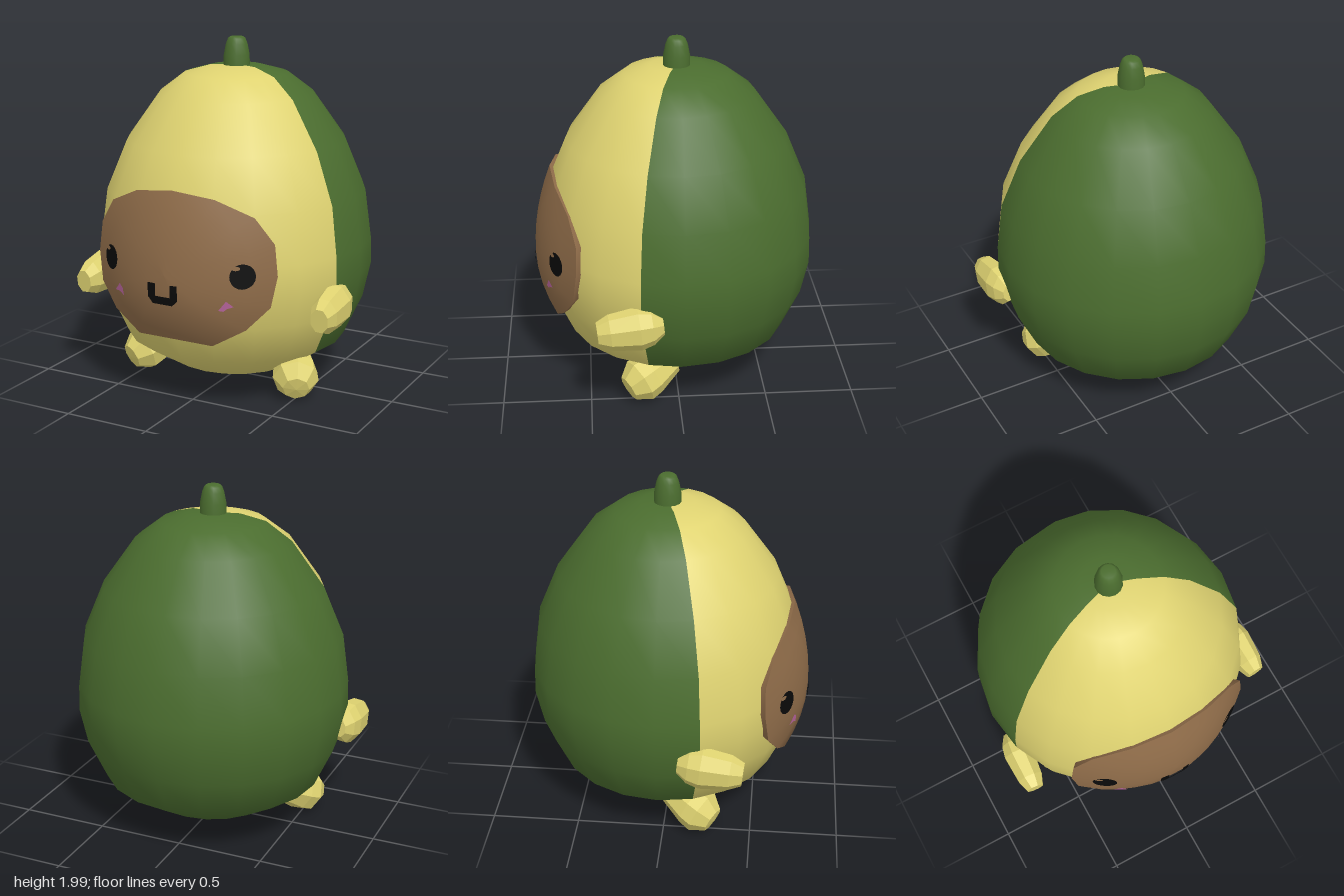
import * as THREE from 'three';

const mat = (name, color) => Object.assign(new THREE.MeshStandardMaterial({ color }), { name });
const V2 = ([x, y]) => new THREE.Vector2(x, y);

// Gently domed front surface of the face plate
const faceZ = (x, y) => 0.8 - 0.74 * x * x - (y > 0.75 ? 0.38 : 0.75) * (y - 0.75) ** 2;

// Joins closed rings of points into a skin
function loft(rings) {
  const n = rings[0].length, index = [];
  for (let r = 0; r < rings.length - 1; r++)
    for (let i = 0; i < n; i++) {
      const a = r * n + i, d = r * n + (i + 1) % n;
      index.push(a, a + n, d + n, a, d + n, d);
    }
  const g = new THREE.BufferGeometry();
  g.setAttribute('position', new THREE.Float32BufferAttribute(rings.flat(2), 3));
  g.setIndex(index);
  g.computeVertexNormals();
  return g;
}

// Thin painted shape that follows the face plate
function decal(shape, lift = 0.006) {
  const g = new THREE.ShapeGeometry(shape, 10), p = g.attributes.position;
  for (let i = 0; i < p.count; i++) p.setZ(i, faceZ(p.getX(i), p.getY(i)) + lift);
  g.computeVertexNormals();
  return g;
}

const ellipse = (x, y, rx, ry) => new THREE.Shape().absellipse(x, y, rx, ry, 0, Math.PI * 2);

// Stubby faceted limb: an eight-sided profile turned about a direction
function limb(profile, dir) {
  const g = new THREE.LatheGeometry(profile.map(V2), 8, Math.PI / 8).toNonIndexed();
  g.applyQuaternion(new THREE.Quaternion().setFromUnitVectors(
    new THREE.Vector3(0, 1, 0), new THREE.Vector3(...dir).normalize()));
  g.computeVertexNormals();
  return g;
}

export function createModel() {
  const root = new THREE.Group();
  root.name = 'avocadoFigure';
  const green = mat('skinGreen', 0x4b6d2f), yellow = mat('fleshYellow', 0xdfd371);
  const brown = mat('stoneBrown', 0x8f6c49), black = mat('black', 0x0a0a0a);
  const pink = mat('cheekPink', 0xb8659c);
  const add = (name, geometry, material, parent = root) => {
    const m = new THREE.Mesh(geometry, material);
    m.name = name;
    parent.add(m);
    return m;
  };

  // Egg-shaped body: eight of twenty segments are flesh, the rest skin
  const profile = [[0, 0.06], [0.19, 0.075], [0.38, 0.13], [0.635, 0.29], [0.74, 0.52], [0.783, 0.72],
    [0.78, 0.87], [0.742, 1.15], [0.625, 1.43], [0.44, 1.69], [0.295, 1.8], [0.15, 1.84], [0, 1.845]];
  const body = new THREE.LatheGeometry(profile.map(V2), 20, -Math.PI * 0.4);
  const column = (profile.length - 1) * 6, skinRows = 2 * 6;
  for (let s = 0; s < 8; s++) {
    body.addGroup(s * column, skinRows, 0);
    body.addGroup(s * column + skinRows, column - skinRows, 1);
  }
  body.addGroup(8 * column, 12 * column, 0);
  add('body', body, [green, yellow]).position.z = -0.02;

  // Stem
  const stem = [[0.076, 1.83], [0.074, 1.9], [0.062, 1.96], [0.05, 1.99], [0.038, 2], [0, 2]];
  add('stem', new THREE.LatheGeometry(stem.map(V2), 14), green).position.z = -0.02;

  // Face plate: domed front and bevelled rim
  const half = [[0.24, 1.23], [0.44, 1.14], [0.54, 1], [0.56, 0.83], [0.53, 0.66], [0.41, 0.53], [0.23, 0.425]];
  const outline = [[0, 1.26], ...half.map(([x, y]) => [-x, y]), ...half.slice().reverse()];
  const ring = (s, depth = 0) => outline.map(([px, py]) => {
    const x = px * s, y = 0.82 + (py - 0.82) * s;
    return [x, y, faceZ(x, y) - depth];
  });
  const face = new THREE.Group();
  face.name = 'face';
  root.add(face);
  add('facePlate', loft([0, 0.2, 0.4, 0.6, 0.8, 1].map(s => ring(s))), brown, face);
  add('faceRim', loft([ring(1), ring(0.94, 0.06)]), brown, face);

  // Eyes with small glints, and cheeks
  for (const side of [-1, 1]) {
    const name = side > 0 ? 'left' : 'right';
    const x = side > 0 ? 0.41 : -0.405;
    add(name + 'Eye', decal(ellipse(x, 0.837, 0.06, 0.068)), black, face);
    add(name + 'EyeGlint', decal(ellipse(x - 0.03, 0.882, 0.02, 0.012), 0.009), brown, face);
    const cheek = side > 0
      ? [[0.295, 0.65], [0.335, 0.703], [0.37, 0.672], [0.335, 0.66], [0.32, 0.645]]
      : [[-0.37, 0.66], [-0.325, 0.71], [-0.3, 0.69], [-0.293, 0.645], [-0.325, 0.663]];
    const shape = new THREE.Shape(cheek.map(V2).reverse());
    add(name + 'Cheek', decal(shape), pink, face);
  }

  // U-shaped mouth
  const mouth = [[-0.1, 0.77], [-0.1, 0.69], [-0.07, 0.655], [0.05, 0.655], [0.082, 0.685], [0.082, 0.77],
    [0.04, 0.77], [0.04, 0.7], [-0.05, 0.7], [-0.05, 0.77]];
  add('mouth', decal(new THREE.Shape(mouth.map(V2))), black, face);

  // Arms and feet, one pair each
  const armProfile = [[0, -0.18], [0.055, -0.18], [0.105, -0.12], [0.125, -0.05], [0.105, 0.11], [0.07, 0.18], [0, 0.18]];
  const footProfile = [[0, -0.2], [0.085, -0.17], [0.125, -0.02], [0.13, 0.05], [0.075, 0.13], [0, 0.14]];
  for (const side of [-1, 1]) {
    const name = side > 0 ? 'left' : 'right';
    const arm = add(name + 'Arm', limb(armProfile, [side * 0.06, -0.1, 1]).scale(0.74, 1, 1), yellow);
    arm.position.set(side * 0.745, 0.6, 0.28);
    const foot = add(name + 'Foot', limb(footProfile, [side * 0.42, -0.35, 0.8]), yellow);
    foot.position.set(side * 0.485, 0.148, 0.18);
  }
  return root;
}
